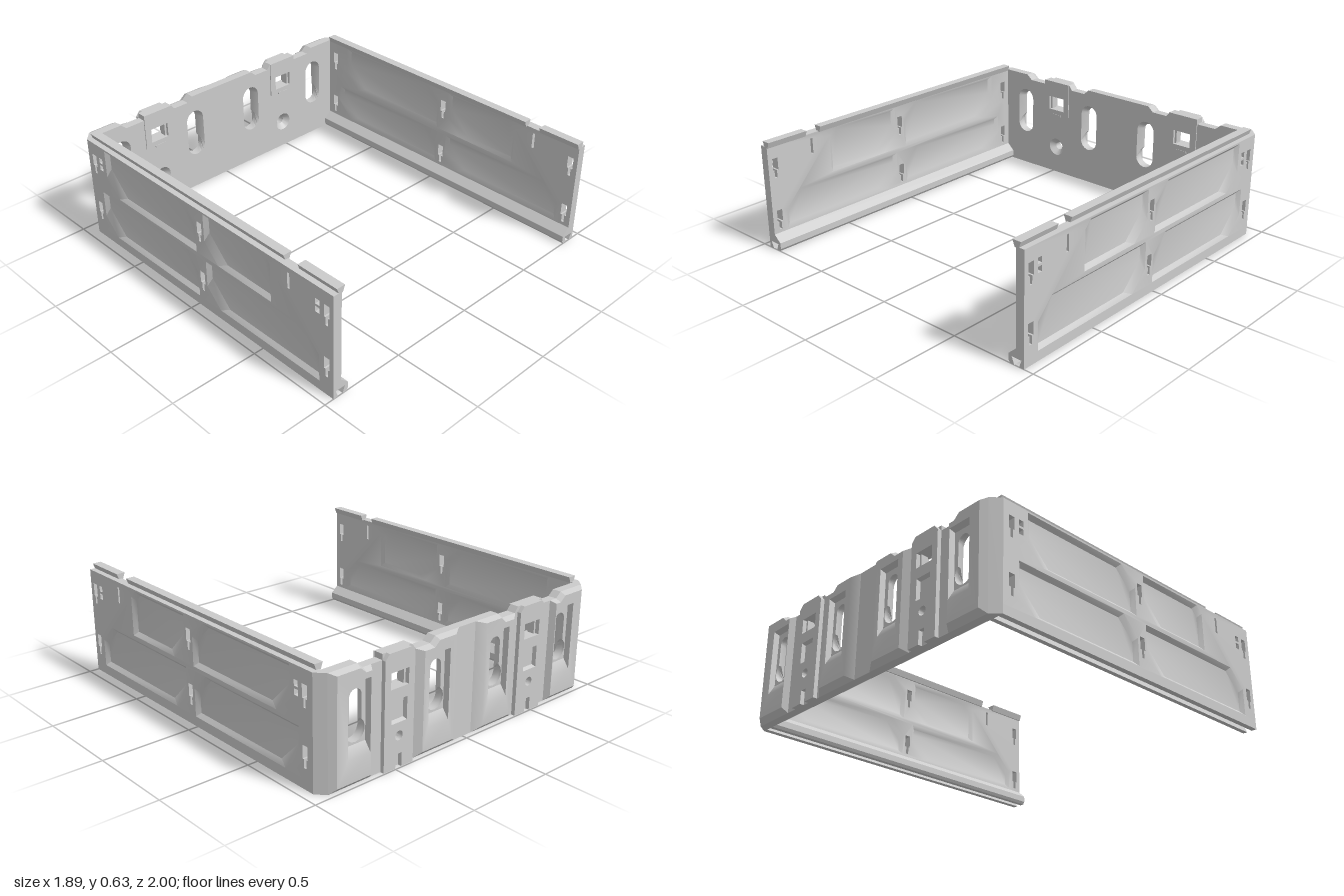
import * as THREE from 'three';
import { mergeGeometries, toCreasedNormals } from 'three/addons/utils/BufferGeometryUtils.js';

const material = new THREE.MeshStandardMaterial({ color: 0xcccccc, side: THREE.DoubleSide });

// ---------- geometry helpers (loops are counter-clockwise lists of [x, y]) ----------
const vecs = loop => loop.map(p => new THREE.Vector2(p[0], p[1]));

function cap(loop, z, up, holes = []) {
  const shape = new THREE.Shape(vecs(loop));
  shape.holes = holes.map(h => new THREE.Path(vecs(h)));
  const p = new THREE.ShapeGeometry(shape).toNonIndexed().attributes.position;
  const out = [];
  for (let i = 0; i < p.count; i += 3)
    for (const k of up ? [0, 1, 2] : [0, 2, 1]) out.push(p.getX(i + k), p.getY(i + k), z);
  return out;
}

// Strip of quads through rings [loop, z]
function strip(rings) {
  const out = [];
  for (let r = 0; r + 1 < rings.length; r++) {
    const [a, za] = rings[r], [b, zb] = rings[r + 1];
    a.forEach((p, i) => {
      const j = (i + 1) % a.length;
      const A = [...p, za], B = [...a[j], za], C = [...b[j], zb], D = [...b[i], zb];
      out.push(...A, ...B, ...C, ...A, ...C, ...D);
    });
  }
  return out;
}

function toGeometry(positions) {
  const g = new THREE.BufferGeometry();
  g.setAttribute('position', new THREE.Float32BufferAttribute(positions, 3));
  return toCreasedNormals(g, 0.6);
}

// Plate from z = 0 to t; each cut is a list of rings from high z to low z.
// Cuts that do not reach a face are closed there, giving bevelled pockets.
function plate(outline, t, cuts = [], backOutline = outline) {
  const top = cuts.filter(c => c[0][1] === t).map(c => c[0][0]);
  const bottom = cuts.filter(c => c.at(-1)[1] === 0).map(c => c.at(-1)[0]);
  const parts = [cap(outline, t, true, top), cap(backOutline, 0, false, bottom),
    strip([[backOutline, 0], [outline, t]])];
  for (const c of cuts) {
    parts.push(strip(c));
    if (c[0][1] < t) parts.push(cap(c[0][0], c[0][1], false));
    if (c.at(-1)[1] > 0) parts.push(cap(c.at(-1)[0], c.at(-1)[1], true));
  }
  return toGeometry(parts.flat());
}

const rect = (x0, x1, y0, y1) => [[x0, y0], [x1, y0], [x1, y1], [x0, y1]];
const through = (loop, t) => [[loop, t], [loop, 0]];
const circle = (cx, cy, r, n = 24) => Array.from({ length: n }, (_, i) =>
  [cx + r * Math.cos(i * 2 * Math.PI / n), cy + r * Math.sin(i * 2 * Math.PI / n)]);

function add(parent, name, geometry, x = 0, y = 0, z = 0) {
  const mesh = new THREE.Mesh(geometry, material);
  mesh.name = name;
  mesh.position.set(x, y, z);
  parent.add(mesh);
  return mesh;
}

function extrudeZ(points, z0, z1) {
  return new THREE.ExtrudeGeometry(new THREE.Shape(vecs(points)), { depth: z1 - z0, bevelEnabled: false })
    .translate(0, 0, z0);
}

// ---------- side wall ----------
// Panel with a chamfered upper front and lower rear corner
const panel = (x0, x1, y0, y1, tl, br) =>
  [[x0, y0], [x1 - br, y0], [x1, y0 + br], [x1, y1], [x0 + tl, y1], [x0, y1 - tl]];

// Stepped hanging slot, wide above and narrow below
const hangSlot = (x, y) => [[x - 0.008, y], [x + 0.008, y], [x + 0.008, y + 0.045], [x + 0.018, y + 0.045],
  [x + 0.018, y + 0.115], [x - 0.018, y + 0.115], [x - 0.018, y + 0.045], [x - 0.008, y + 0.045]];

function sideWall() {
  const wall = new THREE.Group();
  const t = 0.05;
  const panels = [
    [-0.905, -0.08, 0.055, 0.31, 0.1, 0.1], [-0.01, 0.82, 0.055, 0.31, 0.1, 0.1],
    [-0.575, -0.08, 0.335, 0.595, 0.04, 0.1], [-0.01, 0.76, 0.335, 0.595, 0.1, 0.1]];
  const cuts = [];
  for (const [x0, x1, y0, y1, tl, br] of panels) {
    const i = 0.022, yi = Math.max(y0, 0.1);
    cuts.push([[panel(x0, x1, y0, y1, tl, br), t], [panel(x0 + i, x1 - i, y0 + i, y1 - i, tl, br + 0.03), t - 0.02]]);
    cuts.push([[panel(x0 + i, x1 - i, yi + i, y1 - i, tl, br + 0.03), 0.015], [panel(x0, x1, yi, y1, tl, br), 0]]);
  }
  for (const x of [-0.955, -0.045, 0.865])
    for (const y of [0.11, 0.415]) cuts.push(through(hangSlot(x, y), t));
  cuts.push(through(rect(-0.71, -0.695, 0.485, 0.575), t));
  // Small double pockets
  for (const x of [-0.895, 0.805])
    for (const y of [0.455, 0.5]) {
      const r = rect(x - 0.014, x + 0.014, y, y + 0.032);
      cuts.push([[r, t], [r, t - 0.03]]);
    }
  const web = plate(rect(-1, 0.92, 0.05, 0.605), t, cuts).rotateY(Math.PI / 2);
  add(wall, 'wallPanel', web, 0.895);

  // Foot with a dovetail groove underneath
  add(wall, 'groovedFoot', extrudeZ([[0.945, 0], [0.945, 0.05], [0.895, 0.05], [0.895, 0.09], [0.85, 0.05],
    [0.85, 0.015], [0.86, 0], [0.885, 0], [0.87, 0.04], [0.93, 0.04], [0.915, 0]], -0.92, 1));

  // Dovetail rail on top, with a gap near the front
  for (const [z0, z1] of [[-0.91, 0.65], [0.745, 1]])
    add(wall, 'dovetailRail', extrudeZ([[0.888, 0.6], [0.912, 0.6], [0.925, 0.635], [0.875, 0.635]], z0, z1));
  return wall;
}

// ---------- back plate ----------
// Keyhole outline: large round bottom, upper slot of radius r
function keyhole(cx, r) {
  const loop = [], n = 12;
  const a0 = Math.acos(r / 0.06);
  for (let i = 0; i <= n; i++) {
    const a = Math.PI - a0 + (Math.PI + 2 * a0) * i / n;
    loop.push([cx + 0.06 * Math.cos(a), 0.275 + 0.06 * Math.sin(a)]);
  }
  for (let i = 0; i <= n; i++) {
    const a = Math.PI * i / n;
    loop.push([cx + r * Math.cos(a), 0.445 + r * Math.sin(a)]);
  }
  return loop;
}

const mirrorLoop = loop => loop.map(([x, y]) => [-x, y]).reverse();

function backPlate() {
  const back = new THREE.Group();
  const t = 0.05, zBack = -0.97;
  const rightTop = [[0.945, 0.605], [0.725, 0.605], [0.69, 0.575], [0.57, 0.575], [0.57, 0.605],
    [0.38, 0.605], [0.355, 0.575], [0.26, 0.575], [0.225, 0.605]];
  const outline = [[-0.945, 0], [0.945, 0], ...rightTop, ...mirrorLoop(rightTop)];
  const narrowed = outline.map(([x, y]) => [THREE.MathUtils.clamp(x, -0.9, 0.9), y]);
  const cuts = [];
  for (const s of [-1, 1]) {
    for (const x of [0.735, 0.215])
      cuts.push([[keyhole(s * x, 0.0595), t], [keyhole(s * x, 0.038), 0.015], [keyhole(s * x, 0.038), 0]]);
    const c = s * 0.475;
    cuts.push(through(rect(c - 0.058, c + 0.058, 0.42, 0.505), t));
    cuts.push([[circle(c, 0.17, 0.055), t], [circle(c, 0.17, 0.025), 0.02], [circle(c, 0.17, 0.025), 0]]);
  }
  add(back, 'backPanel', plate(outline, t, cuts, narrowed), 0, 0, zBack);

  // Raised rear pads with a pocket around each keyhole
  const pads = [
    [[[0.64, 0], [0.9, 0], [0.9, 0.605], [0.725, 0.605], [0.69, 0.575], [0.64, 0.575]],
      [[0.66, 0.03], [0.87, 0.03], [0.87, 0.59], [0.73, 0.59], [0.695, 0.56], [0.66, 0.56]], 0.735],
    [[[0.06, 0], [0.36, 0], [0.36, 0.575], [0.26, 0.575], [0.225, 0.605], [0.06, 0.605]],
      [[0.11, 0.03], [0.32, 0.03], [0.32, 0.56], [0.255, 0.56], [0.22, 0.59], [0.11, 0.59]], 0.215]];
  const pocket = (c, w, y0, y1) =>
    [[c - w, y0], [c + w, y0], [c + w, y1], [c + w / 3, y1], [c - w / 3, y1], [c - w, y1]];
  for (const [base, top, c] of pads)
    for (const flip of [false, true]) {
      const f = flip ? mirrorLoop : l => l;
      // Mirrored loops keep matching corner order across rings
      const rings = [[base, 0], [top, 0.03], [pocket(c, 0.07, 0.15, 0.53), 0.03], [pocket(c, 0.063, 0.205, 0.515), 0]];
      const g = toGeometry(strip(rings.map(([l, z]) => [f(l), z]))).rotateY(Math.PI);
      add(back, 'rearPad', g, 0, 0, zBack);
    }

  // Clip columns: rear rib with window, pocket and screw hole; front tab and ledge
  for (const c of [-0.475, 0.475]) {
    const h = 0.0965, d = 0.023;
    const ribOutline = [[-h, 0], [-0.02, 0], [-0.02, 0.075], [0.02, 0.075], [0.02, 0], [h, 0], [h, 0.575],
      [0.07, 0.605], [-0.07, 0.605], [-h, 0.575]];
    const p = rect(-0.05, 0.05, 0.24, 0.36);
    const rib = plate(ribOutline, d, [through(rect(-0.058, 0.058, 0.42, 0.505), d),
      through(circle(0, 0.17, 0.025), d), [[p, d], [rect(-0.043, 0.043, 0.25, 0.35), 0.003]]]).rotateY(Math.PI);
    add(back, 'clipColumn', rib, c, 0, zBack);

    const tab = plate(rect(-h, h, 0.39, 0.605), 0.006, [through(rect(-0.058, 0.058, 0.42, 0.505), 0.006)]);
    const ledge = new THREE.BoxGeometry(0.07, 0.012, 0.01).translate(0, 0.386, 0.003).toNonIndexed();
    const jambs = [-0.052, 0.052].map(x =>
      new THREE.BoxGeometry(0.012, 0.085, 0.04).translate(x, 0.4625, -0.03).toNonIndexed());
    const parts = [tab, ledge, ...jambs];
    parts.forEach(g => g.deleteAttribute('uv'));
    add(back, 'clipTab', mergeGeometries(parts), c, 0, zBack + t);
  }
  return back;
}

export function createModel() {
  const model = new THREE.Group();
  model.name = 'mountingBracket';
  const back = backPlate();
  back.name = 'backPlate';
  const left = sideWall();
  left.name = 'leftWall';
  const right = sideWall();
  right.name = 'rightWall';
  right.scale.x = -1;
  model.add(back, left, right);
  return model;
}
